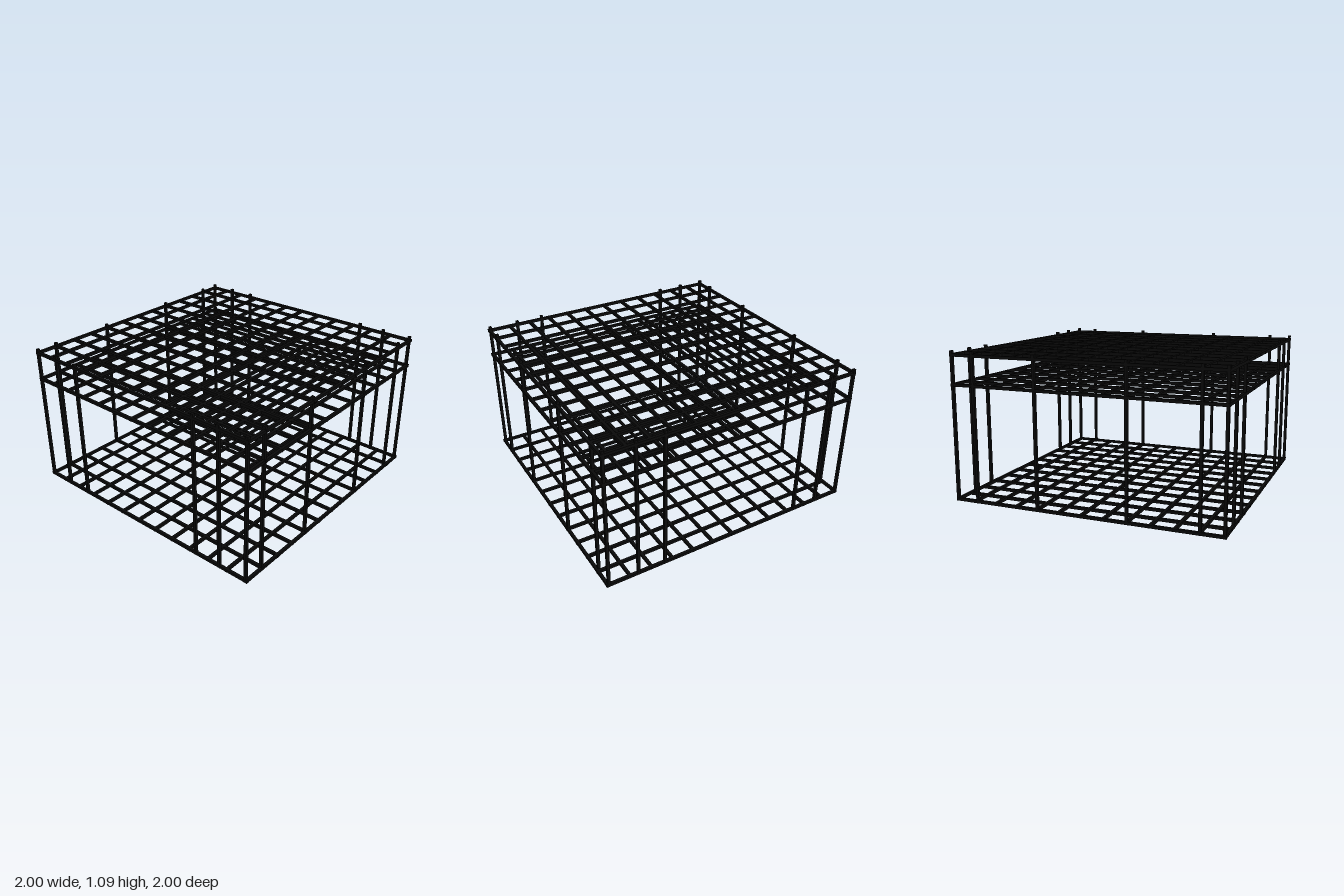
import * as THREE from 'three';

const BAR = 0.021;          // square bar thickness
const POST_TOP = 1.086;

export function createModel() {
  const model = new THREE.Group();
  model.name = 'barFrame';
  const material = new THREE.MeshStandardMaterial({ color: 0x0a0a0a });
  const barX = new THREE.BoxGeometry(2, BAR, BAR);
  const barZ = new THREE.BoxGeometry(BAR, BAR, 2);
  const postShape = new THREE.BoxGeometry(BAR, POST_TOP, BAR);

  const add = (parent, geometry, name, x, y, z) => {
    const mesh = new THREE.Mesh(geometry, material);
    mesh.name = name;
    mesh.position.set(x, y, z);
    parent.add(mesh);
  };

  // Bar spacing: even steps, with the first bar pulled in to the edge
  const lines = Array.from({ length: 13 }, (_, i) => Math.max(-0.989, 0.988 - (12 - i) * 0.1665));

  // Three horizontal lattices
  const layers = { floorGrid: 0.0115, lowerRoofGrid: 0.845, upperRoofGrid: 1.055 };
  for (const [name, y] of Object.entries(layers)) {
    const grid = new THREE.Group();
    grid.name = name;
    for (const p of lines) {
      add(grid, barX, 'crossBar', 0, y, p);
      add(grid, barZ, 'lengthBar', p, y, 0);
    }
    model.add(grid);
  }

  // Upright posts around the perimeter
  const posts = new THREE.Group();
  posts.name = 'posts';
  const addPost = (name, x, z) => add(posts, postShape, name, x, POST_TOP / 2, z);
  for (const x of [-0.988, -0.78, -0.572, 0.55, 0.757, 0.981]) {
    addPost('frontPost', x, 0.988);
    addPost('backPost', x, -0.988);
  }
  for (const z of [0.826, 0.326, -0.34, -0.822]) {
    addPost('rightPost', -0.988, z);
    addPost('leftPost', z < -0.8 ? 0.974 : 0.981, z);
  }
  model.add(posts);
  return model;
}
